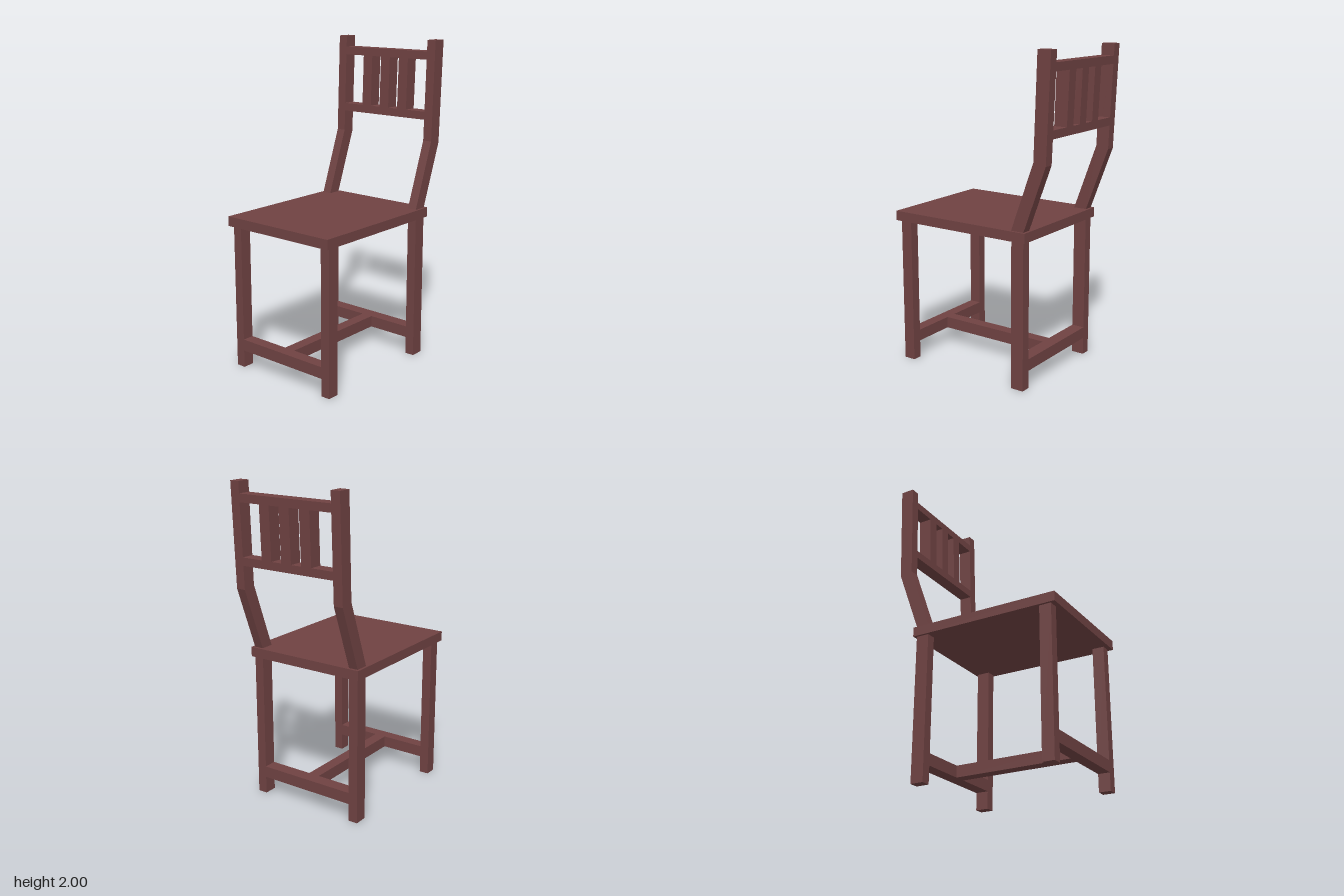
import * as THREE from 'three';

const wood = new THREE.MeshStandardMaterial({ color: 0x6f4242, flatShading: true });

// Box given by its min/max on each axis
function bar(name, [x0, x1], [y0, y1], [z0, z1]) {
  const mesh = new THREE.Mesh(new THREE.BoxGeometry(x1 - x0, y1 - y0, z1 - z0), wood);
  mesh.position.set((x0 + x1) / 2, (y0 + y1) / 2, (z0 + z1) / 2);
  mesh.name = name;
  return mesh;
}

// Side outline (x, y) extruded from z0 to z1
function plank(name, outline, z0, z1) {
  const shape = new THREE.Shape(outline.map(([x, y]) => new THREE.Vector2(x, y)));
  const geometry = new THREE.ExtrudeGeometry(shape, { depth: z1 - z0, bevelEnabled: false });
  geometry.translate(0, 0, z0);
  const mesh = new THREE.Mesh(geometry, wood);
  mesh.name = name;
  return mesh;
}

// Front and rear faces of the leaning upper back at height y
const inner = (y) => 0.447 + (y - 1.38) * 0.035;
const outer = (y) => 0.529 + (y - 1.365) * 0.041;
const leaning = (y0, y1) => [[inner(y0), y0], [outer(y0), y0], [outer(y1), y1], [inner(y1), y1]];

export function createModel() {
  const chair = new THREE.Group();
  chair.name = 'chair';

  chair.add(bar('seat', [-0.56, 0.4], [0.91, 0.97], [-0.395, 0.395]));

  // Legs and bent back posts on both sides
  for (const [side, z0, z1] of [['Left', 0.32, 0.38], ['Right', -0.38, -0.32]]) {
    chair.add(bar('frontLeg' + side, [-0.53, -0.455], [0, 0.91], [z0, z1]));
    chair.add(bar('backLeg' + side, [0.3, 0.383], [0, 0.91], [z0, z1]));
    chair.add(plank('backPost' + side, [
      [0.298, 0.97], [0.383, 0.97], [0.529, 1.365],
      [outer(2), 2], [inner(2), 2], [0.447, 1.38],
    ], z0, z1));
  }

  // H-shaped stretcher
  const height = [0.11, 0.183];
  chair.add(bar('frontStretcher', [-0.53, -0.455], height, [-0.32, 0.32]));
  chair.add(bar('backStretcher', [0.3, 0.383], height, [-0.32, 0.32]));
  chair.add(bar('middleStretcher', [-0.455, 0.3], height, [-0.037, 0.037]));

  // Back rails and slats
  chair.add(plank('lowerRail', leaning(1.51, 1.56), -0.32, 0.32));
  chair.add(plank('topRail', leaning(1.88, 1.93), -0.32, 0.32));
  for (const z of [-0.139, 0.002, 0.143]) {
    chair.add(plank('slat', leaning(1.56, 1.88), z - 0.035, z + 0.035));
  }

  return chair;
}
